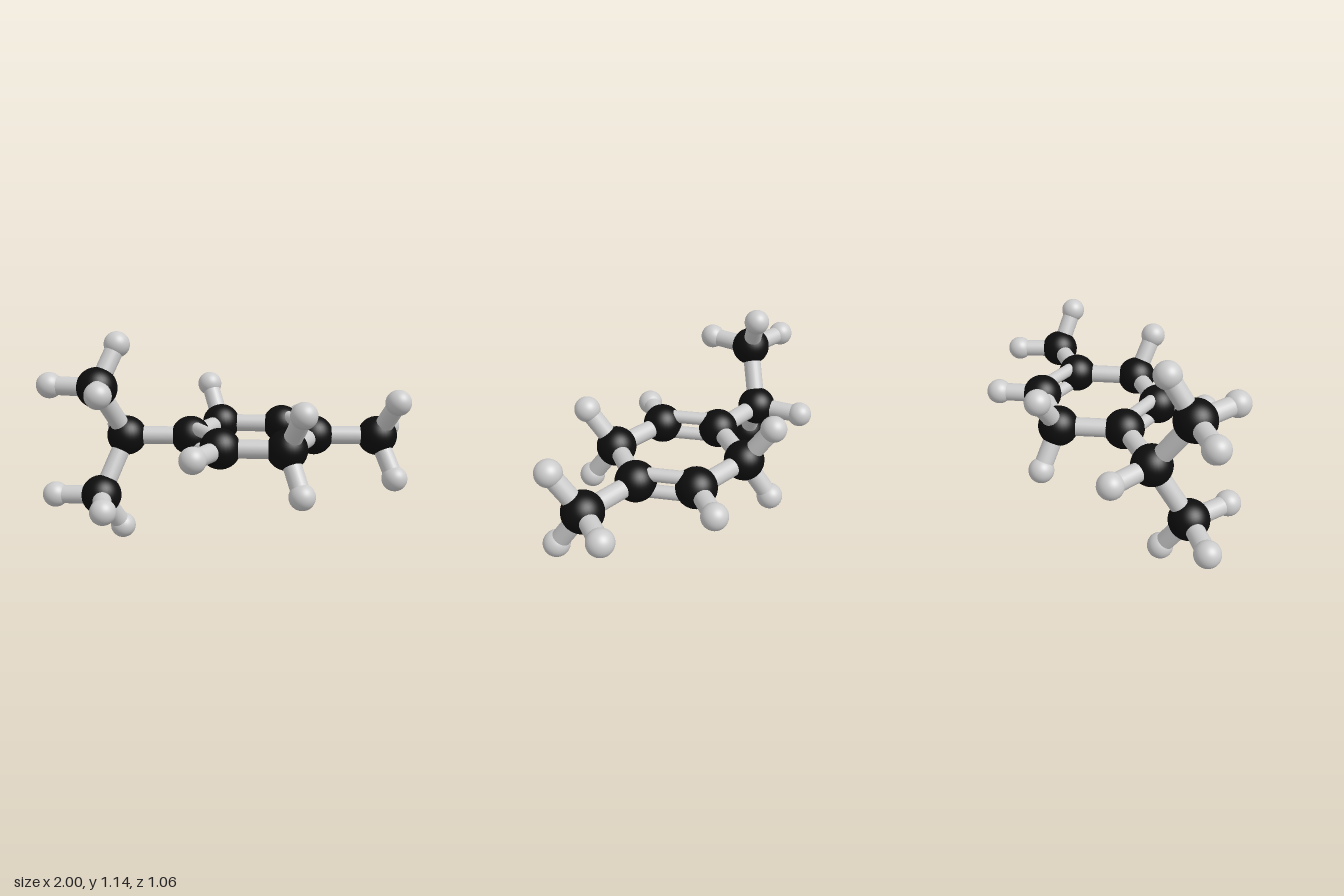
import * as THREE from 'three';

const MID = 0.57; // height of the ring plane
const CARBON_R = 0.106, HYDROGEN_R = 0.068, BOND_R = 0.049;
const DOUBLE_R = 0.035, DOUBLE_OFFSET = 0.05;

const black = new THREE.MeshStandardMaterial({ color: 0x0d0d0d });
const grey = new THREE.MeshStandardMaterial({ color: 0xcccccc });

// Atom positions: x, height above the ring plane, z
const carbons = {
  ring1: [-0.2, 0, -0.03],
  ring2: [-0.01, 0, -0.32],
  ring3: [0.335, 0, -0.26],
  ring4: [0.465, 0, 0.02],
  ring5: [0.27, 0, 0.31],
  ring6: [-0.065, 0, 0.255],
  methyl: [0.805, 0, 0.065],
  branch: [-0.545, 0, -0.07],
  branchUpper: [-0.685, 0.29, 0.07],
  branchLower: [-0.685, -0.29, 0.07],
};

const singleBonds = [
  ['ring1', 'ring2'], ['ring2', 'ring3'], ['ring4', 'ring5'], ['ring5', 'ring6'],
  ['ring4', 'methyl'], ['ring1', 'branch'],
  ['branch', 'branchUpper'], ['branch', 'branchLower'],
];
const doubleBonds = [['ring3', 'ring4'], ['ring1', 'ring6']];

// Hydrogens listed by the carbon they hang from
const hydrogens = {
  ring3: [[0.475, 0, -0.462]],
  ring6: [[-0.215, 0, 0.46]],
  branch: [[-0.597, 0, -0.325]],
  methyl: [[0.927, 0, -0.152]],
};
// Pairs mirrored above and below the ring plane
const pairs = { ring2: [-0.066, 0.206, -0.452], ring5: [0.325, 0.206, 0.45], methyl: [0.872, 0.206, 0.195] };
for (const [name, [x, y, z]] of Object.entries(pairs)) {
  (hydrogens[name] ??= []).push([x, y, z], [x, -y, z]);
}
// The two branch ends mirror each other
for (const [name, s] of [['branchUpper', 1], ['branchLower', -1]]) {
  hydrogens[name] = [[-0.932, 0.297 * s, 0.013], [-0.662, 0.297 * s, 0.323], [-0.58, 0.5 * s, -0.025]];
}

const point = ([x, y, z]) => new THREE.Vector3(x, y + MID, z);

export function createModel() {
  const model = new THREE.Group();
  model.name = 'molecule';
  const carbonGeo = new THREE.SphereGeometry(CARBON_R, 32, 24);
  const hydrogenGeo = new THREE.SphereGeometry(HYDROGEN_R, 32, 24);

  function atom(name, geometry, material, position) {
    const mesh = new THREE.Mesh(geometry, material);
    mesh.name = name;
    mesh.position.copy(position);
    model.add(mesh);
  }

  // Cylinder between two points, optionally shifted in height
  function bond(name, a, b, radius = BOND_R, lift = 0) {
    const dir = b.clone().sub(a);
    const mesh = new THREE.Mesh(new THREE.CylinderGeometry(radius, radius, dir.length(), 24), grey);
    mesh.name = name;
    mesh.position.copy(a).add(b).multiplyScalar(0.5);
    mesh.position.y += lift;
    mesh.quaternion.setFromUnitVectors(new THREE.Vector3(0, 1, 0), dir.normalize());
    model.add(mesh);
  }

  // Carbon skeleton
  for (const [name, p] of Object.entries(carbons)) atom(`${name}Carbon`, carbonGeo, black, point(p));
  for (const [a, b] of singleBonds) bond('singleBond', point(carbons[a]), point(carbons[b]));

  // Double bonds: two thinner rods stacked vertically
  for (const [a, b] of doubleBonds) {
    for (const s of [1, -1]) {
      bond('doubleBond', point(carbons[a]), point(carbons[b]), DOUBLE_R, s * DOUBLE_OFFSET);
    }
  }

  // Hydrogens with their bonds
  for (const [name, list] of Object.entries(hydrogens)) {
    for (const p of list) {
      atom(`${name}Hydrogen`, hydrogenGeo, grey, point(p));
      bond('hydrogenBond', point(carbons[name]), point(p));
    }
  }
  return model;
}
